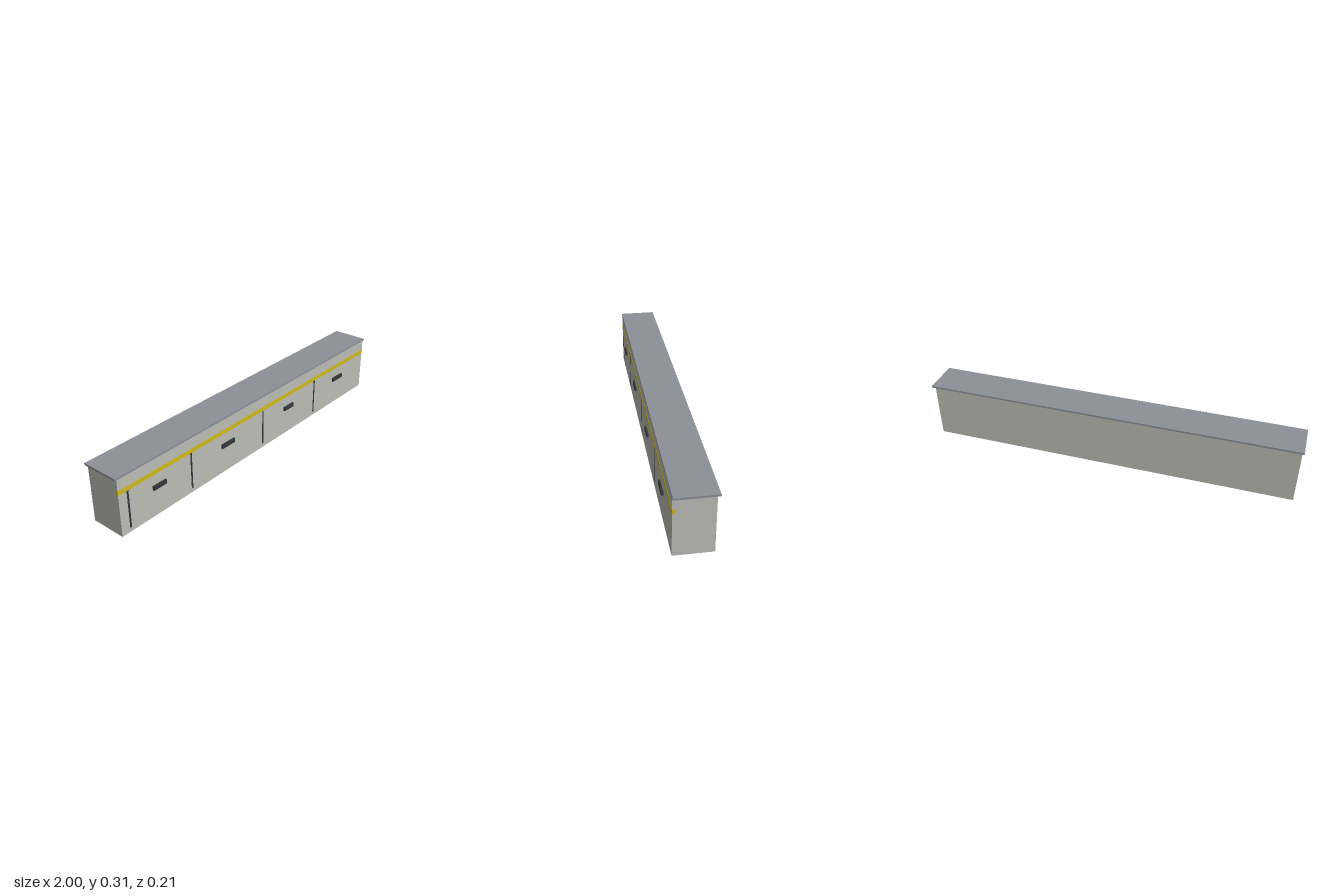
import * as THREE from 'three';

export function createModel() {
  const model = new THREE.Group();
  model.name = 'longCabinet';

  const paint = (name, color) => {
    const m = new THREE.MeshStandardMaterial({ color });
    m.name = name;
    return m;
  };
  const bodyGrey = paint('warm grey', 0xbcbcb6);
  const topGrey = paint('slate grey', 0x8c9097);
  const yellow = paint('yellow', 0xcdba1e);
  const dark = paint('charcoal', 0x33383b);

  // Box given by its minimum and maximum on each axis
  const box = (name, material, [x0, x1], [y0, y1], [z0, z1]) => {
    const mesh = new THREE.Mesh(new THREE.BoxGeometry(x1 - x0, y1 - y0, z1 - z0), material);
    mesh.position.set((x0 + x1) / 2, (y0 + y1) / 2, (z0 + z1) / 2);
    mesh.name = name;
    model.add(mesh);
  };

  const front = 0.095;

  // Main body and overhanging top
  box('body', bodyGrey, [-0.991, 0.985], [0, 0.302], [-0.094, front]);
  box('top', topGrey, [-1, 1], [0.302, 0.312], [-0.105, front]);

  // Painted band along the front, wrapping slightly round the ends
  box('band', yellow, [-0.992, 0.986], [0.222, 0.246], [0.084, front + 0.001]);

  // Door seams
  [-0.938, -0.542, 0.003, 0.473].forEach((x, i) => {
    box(`doorSeam${i + 1}`, dark, [x - 0.005, x + 0.005], [0.022, 0.222], [front - 0.005, front + 0.001]);
  });

  // Door handles: centre and width
  [[-0.754, 0.08], [-0.281, 0.094], [0.225, 0.08], [0.708, 0.094]].forEach(([x, w], i) => {
    box(`handle${i + 1}`, dark, [x - w / 2, x + w / 2], [0.146, 0.168], [front - 0.002, 0.105]);
  });

  return model;
}
